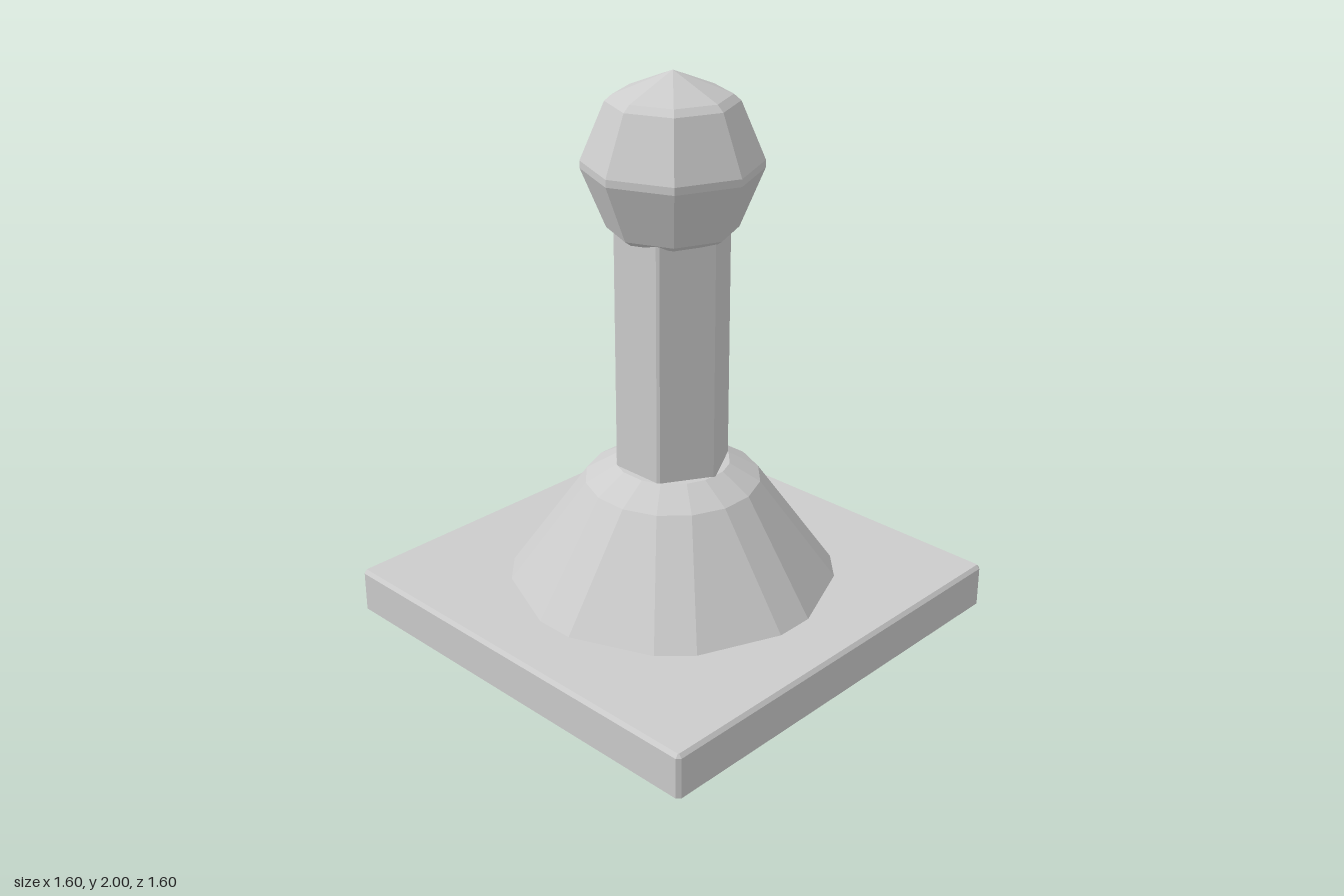
import * as THREE from 'three';

const material = new THREE.MeshStandardMaterial({
  color: 0xcccccc, flatShading: true, side: THREE.DoubleSide,
});

// Ring of a regular polygon whose corners are cut off: r = reach of each cut, w = half its width
function bevelledRing(sides, phase, [r, y, w]) {
  const points = [];
  for (let i = 0; i < sides; i++) {
    const a = phase + (i * 2 * Math.PI) / sides;
    for (const t of [-w, w]) {
      points.push(new THREE.Vector3(
        r * Math.sin(a) + t * Math.cos(a), y, r * Math.cos(a) - t * Math.sin(a)));
    }
  }
  return points;
}

// Skin bevelled rings from bottom to top, close the top, leave the bottom open
function loft(name, sides, phase, sections) {
  const rings = sections.map((s) => bevelledRing(sides, phase, s));
  const count = sides * 2;
  const corners = [];
  for (let j = 0; j < rings.length - 1; j++) {
    for (let i = 0; i < count; i++) {
      const k = (i + 1) % count;
      const [a, b, c, d] = [rings[j][i], rings[j][k], rings[j + 1][k], rings[j + 1][i]];
      corners.push(a, b, c, a, c, d);
    }
  }
  const top = rings[rings.length - 1];
  const centre = new THREE.Vector3(0, top[0].y, 0);
  for (let i = 0; i < count; i++) corners.push(centre, top[i], top[(i + 1) % count]);
  const geometry = new THREE.BufferGeometry().setFromPoints(corners);
  geometry.computeVertexNormals();
  const mesh = new THREE.Mesh(geometry, material);
  mesh.name = name;
  return mesh;
}

export function createModel() {
  const group = new THREE.Group();
  group.name = 'pedestalPiece';

  // Square base: hollow underneath, with chamfered top and corner edges
  group.add(loft('base', 4, Math.PI / 4, [
    [1.122, 0, 0.009], [1.122, 0.147, 0.009], [1.113, 0.16, 0.002],
  ]));

  // Flared octagonal foot, its open rim reaching below the base plate
  group.add(loft('foot', 8, 0, [
    [0.62, 0.105, 0.075], [0.582, 0.16, 0.072], [0.308, 0.54, 0.06], [0.2, 0.605, 0.045],
  ]));

  // Hexagonal column
  group.add(loft('column', 6, Math.PI / 6, [
    [0.203, 0.58, 0.006], [0.203, 1.47, 0.006],
  ]));

  // Faceted ball with narrow bevels between its bands
  const profile = [
    [0, 1.385], [0.198, 1.45], [0.223, 1.468], [0.307, 1.672],
    [0.307, 1.698], [0.223, 1.898], [0.198, 1.92], [0, 2],
  ].map(([r, y]) => new THREE.Vector2(r, y));
  const ball = new THREE.Mesh(new THREE.LatheGeometry(profile, 8), material);
  ball.name = 'ball';
  group.add(ball);

  return group;
}
